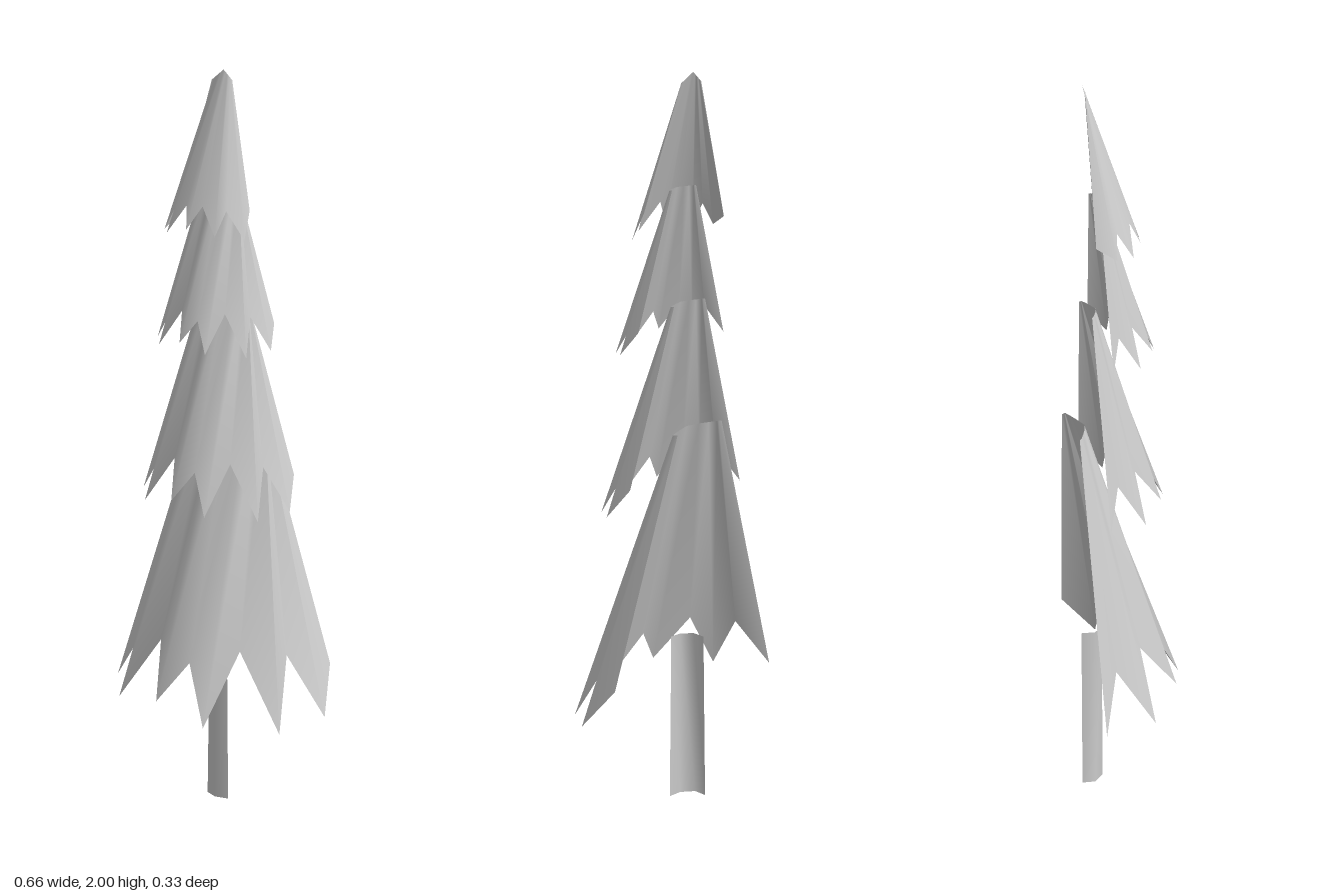
import * as THREE from 'three';

const material = new THREE.MeshStandardMaterial({ color: 0xcccccc, side: THREE.DoubleSide });

// Smooth open sheet between an upper and a lower edge, both running from -x round the front to +x
function sheet(name, upper, lower) {
  const n = lower.length;
  const index = [];
  for (let i = 0; i < n - 1; i++) {
    index.push(i, i + 1, n + i + 1, i, n + i + 1, n + i);
  }
  const geometry = new THREE.BufferGeometry();
  geometry.setAttribute('position', new THREE.Float32BufferAttribute([...lower, ...upper].flat(), 3));
  geometry.setIndex(index);
  geometry.computeVertexNormals();
  const mesh = new THREE.Mesh(geometry, material);
  mesh.name = name;
  return mesh;
}

// Branch skirt, measured from its top rim: jagged hem and a narrow, shallow rim bent back at +x
const hem = [
  [-0.33, -0.76, -0.047], [-0.228, -0.62, -0.02], [-0.233, -0.775, 0.087],
  [-0.12, -0.605, 0.047], [-0.068, -0.745, 0.15], [0.005, -0.64, 0.097],
  [0.09, -0.79, 0.163], [0.125, -0.605, 0.033], [0.265, -0.805, 0.058],
  [0.222, -0.62, -0.05], [0.33, -0.78, -0.07], [0.29, -0.66, -0.167],
];
const rim = [
  [-0.102, -0.113], [-0.095, -0.11], [-0.09, -0.108], [-0.065, -0.104],
  [-0.035, -0.1], [0.005, -0.1], [0.045, -0.122], [0.07, -0.138],
  [0.088, -0.15], [0.088, -0.152], [0.087, -0.154], [0.08, -0.16],
].map(([x, z]) => [x, 0, z]);

// Pointed crown
const crownHem = [
  [-0.14, 1.61, -0.068], [-0.145, 1.58, -0.015], [-0.11, 1.64, -0.015],
  [-0.11, 1.575, 0.028], [-0.053, 1.65, 0.018], [-0.035, 1.59, 0.048],
  [0, 1.65, 0.023], [0.053, 1.575, 0.047], [0.065, 1.64, 0.01],
  [0.112, 1.565, -0.005], [0.103, 1.64, -0.045],
];
const crownTop = crownHem.map((_, i) => {
  const t = (i - 5) / 5;
  return [-0.013 + 0.032 * t, 2 - 0.027 * Math.abs(t), -0.1 + 0.008 * Math.abs(t)];
});

// Open trunk shell
const trunkPlan = [[-0.053, -0.112], [-0.047, -0.075], [-0.01, -0.055], [0.03, -0.06]];

export function createModel() {
  const tree = new THREE.Group();
  tree.name = 'halfConifer';

  tree.add(sheet('trunk',
    trunkPlan.map(([x, z]) => [x * 0.85, 0.47, z]),
    trunkPlan.map(([x, z]) => [x, 0, z])));

  // Three skirts shrinking upwards: name, rim height, plan scale, height scale
  const tiers = [
    ['lowerBranches', 1.07, 1, 1.005],
    ['middleBranches', 1.4, 0.695, 0.71],
    ['upperBranches', 1.7, 0.53, 0.545],
  ];
  for (const [name, y, plan, height] of tiers) {
    const skirt = sheet(name, rim, hem);
    skirt.geometry.scale(plan, height, plan);
    skirt.geometry.translate(0, y, 0);
    tree.add(skirt);
  }

  tree.add(sheet('crown', crownTop, crownHem));
  return tree;
}
